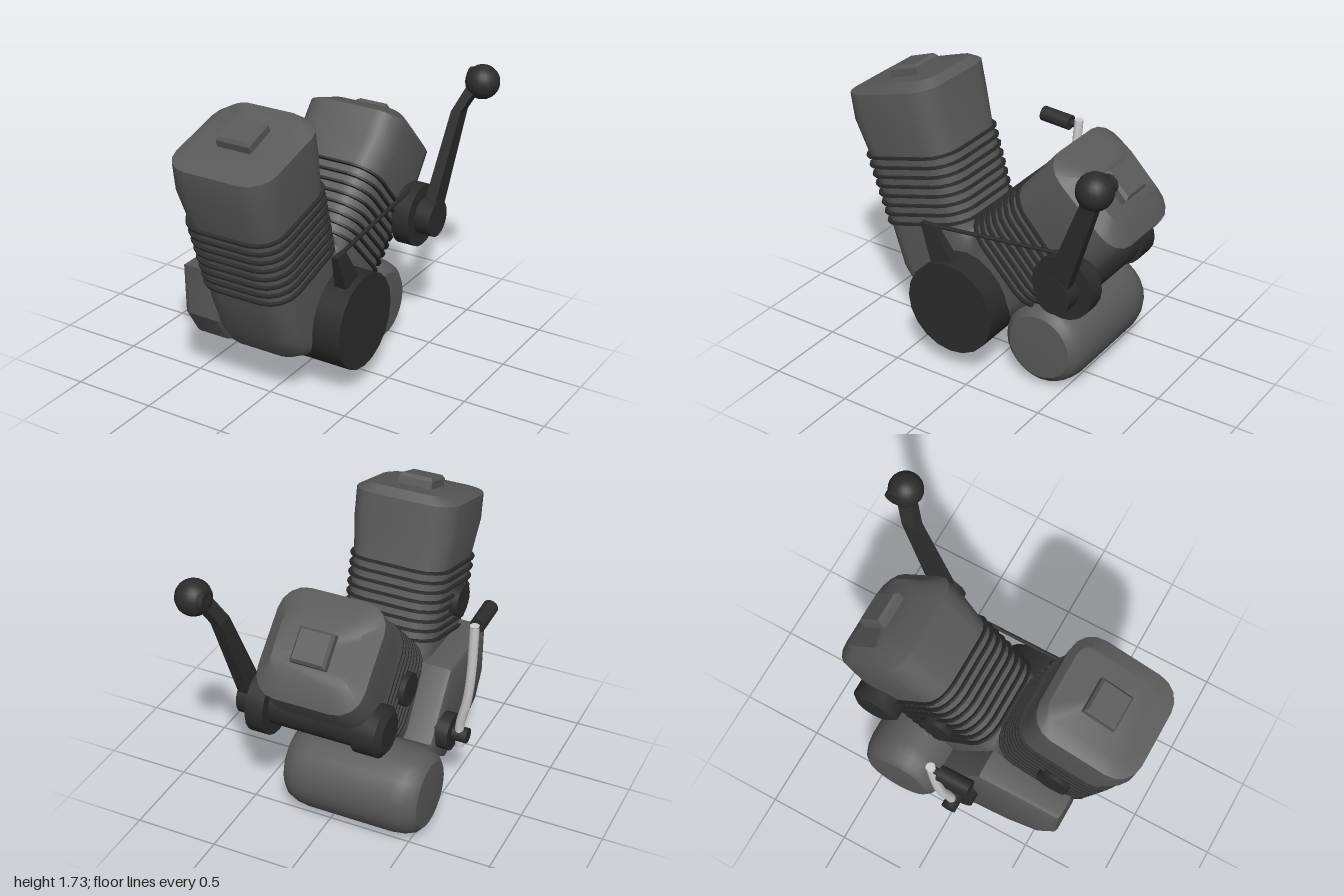
import * as THREE from 'three';
import { toCreasedNormals } from 'three/addons/utils/BufferGeometryUtils.js';

const mat = (name, color) => {
  const m = new THREE.MeshStandardMaterial({ color });
  m.name = name;
  return m;
};
const CX = -0.02; // middle of both cylinders

// Solid skin over closed rings that run counter-clockwise about the travel direction
function loft(rings, crease = 0.6) {
  const n = rings[0].length, pos = [], idx = [];
  rings.forEach(r => r.forEach(p => pos.push(p.x, p.y, p.z)));
  for (let i = 0; i < rings.length - 1; i++) {
    for (let j = 0; j < n; j++) {
      const k = (j + 1) % n;
      const a = i * n + j, b = i * n + k, c = (i + 1) * n + k, d = (i + 1) * n + j;
      idx.push(a, b, d, b, c, d);
    }
  }
  const last = (rings.length - 1) * n;
  for (let j = 1; j < n - 1; j++) {
    idx.push(0, j + 1, j, last, last + j, last + j + 1);
  }
  const g = new THREE.BufferGeometry();
  g.setAttribute('position', new THREE.Float32BufferAttribute(pos, 3));
  g.setIndex(idx);
  return toCreasedNormals(g, crease);
}

// Rounded-rectangle section; s = [outer z, outer y, inner z, inner y, half width, corner radius]
function section(s, grow = 0, shift = 0) {
  const [oz, oy, iz, iy, w, r] = s;
  const len = Math.hypot(oz - iz, oy - iy);
  const vz = (oz - iz) / len, vy = (oy - iy) / len;
  const cz = (oz + iz) / 2 + vy * shift, cy = (oy + iy) / 2 - vz * shift;
  const hw = w + grow, hv = len / 2 + grow, rad = r + grow, pts = [];
  [[1, 1], [-1, 1], [-1, -1], [1, -1]].forEach(([sx, sv], q) => {
    for (let k = 0; k <= 4; k++) {
      const a = (q + k / 4) * Math.PI / 2;
      const u = sx * (hw - rad) + Math.cos(a) * rad;
      const v = sv * (hv - rad) + Math.sin(a) * rad;
      pts.push(new THREE.Vector3(CX + u, cy + vy * v, cz + vz * v));
    }
  });
  return pts;
}
const mix = (a, b, t) => a.map((v, i) => v + (b[i] - v) * t);

// Tapered bar from horizontal rectangles [x, y, z, half x, half z], bottom to top
const bar = list => loft(list.map(([x, y, z, hx, hz]) =>
  [[1, 1], [1, -1], [-1, -1], [-1, 1]].map(([a, b]) =>
    new THREE.Vector3(x + a * hx, y, z + b * hz))), 0.3);

export function createModel() {
  const grey = mat('engine grey', 0x5a5a5a);
  const dark = mat('dark metal', 0x2c2c2c);
  const light = mat('bright metal', 0xd0d0d0);
  const group = new THREE.Group();
  const add = (name, geo, m) => {
    const mesh = new THREE.Mesh(geo, m);
    mesh.name = name;
    group.add(mesh);
    return mesh;
  };
  // Cylinder lying along x
  const cylX = (name, x0, x1, y, z, r, m = dark, seg = 20, r1 = r) => {
    const g = new THREE.CylinderGeometry(r1, r, x1 - x0, seg).rotateZ(-Math.PI / 2);
    return add(name, toCreasedNormals(g.translate((x0 + x1) / 2, y, z), 0.6), m);
  };

  // V-shaped body: front head, down through the crankcase, up to the rear head
  const frontTop = [0.89, 1.14, 0.29, 1.30, 0.295, 0.14];
  const frontLow = [0.755, 0.72, 0.165, 0.89, 0.285, 0.14];
  const rearLow = [-0.28, 0.47, 0.14, 0.91, 0.285, 0.14];
  const rearTop = [-0.585, 0.745, -0.165, 1.215, 0.295, 0.14];
  const body = [
    [0.92, 1.555, 0.43, 1.727, 0.235, 0.09],
    [1.0, 1.52, 0.38, 1.69, 0.32, 0.15],
    [0.975, 1.36, 0.345, 1.52, 0.32, 0.15],
    frontTop, frontLow,
    [0.66, 0.44, 0.155, 0.87, 0.28, 0.13],
    [0.56, 0.30, 0.15, 0.86, 0.275, 0.13],
    [0.36, 0.22, 0.145, 0.86, 0.27, 0.13],
    [0.12, 0.18, 0.14, 0.86, 0.27, 0.13],
    [-0.09, 0.29, 0.135, 0.87, 0.275, 0.13],
    rearLow, rearTop,
    [-0.74, 0.885, -0.285, 1.355, 0.32, 0.15],
    [-0.86, 1.045, -0.395, 1.485, 0.32, 0.15],
    [-0.82, 1.175, -0.555, 1.445, 0.235, 0.09],
  ];
  add('engineBody', loft(body.map(s => section(s))), grey);

  // Cooling fins, eight on each cylinder
  for (const [name, lo, hi] of [['frontFin', frontLow, frontTop], ['rearFin', rearLow, rearTop]]) {
    for (let i = 0; i < 8; i++) {
      const s = mix(lo, hi, 0.04 + 0.96 * i / 7);
      add(name, loft([section(s, 0.022, -0.007), section(s, 0.022, 0.007)]), dark);
    }
  }

  // Raised plates on the heads, with bevelled top edges
  for (const [name, y, z, tilt] of [['frontCap', 1.64, 0.69, 0.335], ['rearCap', 1.31, -0.69, -0.79]]) {
    const g = bar([[0, -0.03, 0, 0.105, 0.1], [0, 0.04, 0, 0.105, 0.1], [0, 0.06, 0, 0.09, 0.085]]);
    add(name, g.rotateX(tilt).translate(CX, y, z), grey);
  }

  // Side case on the right flank
  const outline = [[0.68, 0.78], [0.67, 0.47], [0.57, 0.31], [0.36, 0.22], [0.1, 0.18],
    [-0.1, 0.31], [-0.12, 0.42], [0.155, 0.78]];
  const caseGeo = new THREE.ExtrudeGeometry(
    new THREE.Shape(outline.map(p => new THREE.Vector2(...p))),
    { depth: 0.19, bevelThickness: 0.035, bevelSize: 0.03, bevelOffset: -0.03, bevelSegments: 2 });
  add('sideCase', toCreasedNormals(caseGeo.rotateY(-Math.PI / 2).translate(-0.245, 0, 0), 0.5), grey);

  // Round flywheel cover, ports and starter barrel
  cylX('flywheelCover', -0.15, 0.43, 0.43, 0.16, 0.29);
  cylX('frontPort', -0.36, -0.2, 0.99, 0.57, 0.1);
  cylX('rearPort', -0.36, -0.2, 0.83, -0.19, 0.1);
  cylX('starterBarrel', -0.35, 0.32, 0.80, -0.575, 0.125);
  cylX('starterEnd', -0.38, -0.24, 0.80, -0.575, 0.15);
  cylX('starterEndCap', -0.41, -0.38, 0.80, -0.575, 0.11, dark, 20, 0.15);
  cylX('starterDisc', 0.28, 0.39, 0.80, -0.575, 0.193);
  cylX('starterHub', 0.39, 0.49, 0.80, -0.575, 0.112);

  // Rounded tank behind the crankcase
  const profile = [[0, -0.43], [0.2, -0.42], [0.235, -0.39], [0.255, -0.34], [0.265, -0.27],
    [0.265, 0.27], [0.255, 0.34], [0.235, 0.39], [0.2, 0.42], [0, 0.43]];
  const tank = new THREE.LatheGeometry(profile.map(p => new THREE.Vector2(...p)), 24);
  add('tank', toCreasedNormals(tank.rotateZ(-Math.PI / 2).translate(-0.145, 0.265, -0.355), 0.6), grey);

  // Shift lever with ball grip
  add('handLever', bar([[0.445, 0.82, -0.575, 0.035, 0.075], [0.49, 1.42, -0.8, 0.03, 0.05],
    [0.57, 1.6, -0.88, 0.035, 0.045]]), dark);
  cylX('gripCollar', 0.495, 0.58, 1.6, -0.915, 0.055, dark, 12);
  add('ballGrip', new THREE.SphereGeometry(0.103, 20, 14).translate(0.59, 1.587, -0.888), dark);

  // Linkage arm and rod
  add('linkArm', bar([[0.355, 0.69, 0.235, 0.037, 0.08], [0.36, 0.91, 0.34, 0.018, 0.05]]), dark);
  const rodPath = new THREE.LineCurve3(new THREE.Vector3(0.355, 0.895, 0.36), new THREE.Vector3(0.325, 0.98, -0.58));
  add('linkRod', new THREE.TubeGeometry(rodPath, 1, 0.012, 8), dark);

  // Kick lever with hub and pedal
  cylX('kickHub', -0.54, -0.42, 0.435, 0.04, 0.112);
  cylX('kickShaft', -0.63, -0.5, 0.435, 0.04, 0.046, dark, 14);
  const kick = [[-0.58, 0.35, 0.04], [-0.58, 0.5, 0.03], [-0.625, 0.7, 0.01], [-0.65, 0.9, -0.005],
    [-0.66, 1.08, -0.015], [-0.667, 1.25, -0.025]].map(p => new THREE.Vector3(...p));
  add('kickLever', new THREE.TubeGeometry(new THREE.CatmullRomCurve3(kick), 20, 0.028, 10), light);
  for (const [i, y] of [[0, -1], [5, 1]]) {
    add('kickLeverEnd', new THREE.CircleGeometry(0.028, 10).rotateX(-y * Math.PI / 2)
      .translate(kick[i].x, kick[i].y, kick[i].z), light);
  }
  const pedal = new THREE.Group();
  pedal.name = 'kickPedal';
  for (const [name, r, len, z] of [['pedalRubber', 0.046, 0.195, 0.125], ['pedalPin', 0.02, 0.07, 0.005]]) {
    const g = new THREE.CylinderGeometry(r, r, len, 14).rotateX(Math.PI / 2).translate(0, 0, z);
    const m = new THREE.Mesh(toCreasedNormals(g, 0.6), dark);
    m.name = name;
    pedal.add(m);
  }
  pedal.position.set(-0.662, 1.215, 0);
  pedal.rotation.x = -0.07;
  group.add(pedal);

  return group;
}
